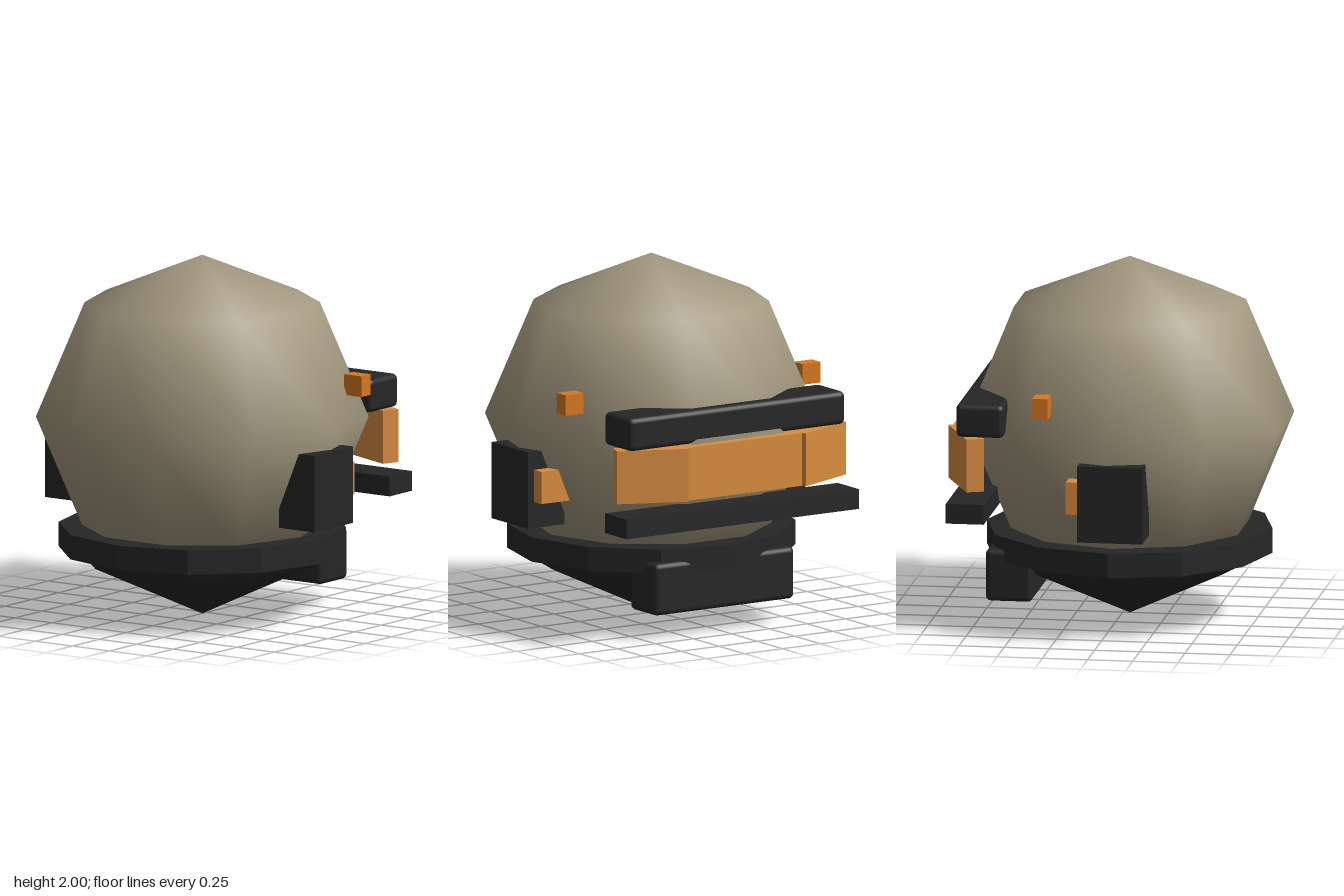
import * as THREE from 'three';
import { RoundedBoxGeometry } from 'three/addons/geometries/RoundedBoxGeometry.js';

const material = (name, color) => Object.assign(new THREE.MeshStandardMaterial({ color }), { name });

export function createModel() {
  const group = new THREE.Group();
  const tan = material('tan shell', 0xa3987f);
  const black = material('black trim', 0x262626);
  const amber = material('amber visor', 0xd98d3f);
  const orange = material('orange marker', 0xd87820);
  const cx = -0.04; // axis of the shell

  const add = (name, geometry, mat, x = 0, y = 0, z = 0) => {
    const mesh = new THREE.Mesh(geometry, mat);
    mesh.name = name;
    mesh.position.set(x, y, z);
    group.add(mesh);
    return mesh;
  };
  // Box given by its limits; a radius rounds the edges
  const box = (name, mat, [x0, x1], [y0, y1], [z0, z1], radius = 0) => {
    const size = [x1 - x0, y1 - y0, z1 - z0];
    const geometry = radius ? new RoundedBoxGeometry(...size, 2, radius) : new THREE.BoxGeometry(...size);
    return add(name, geometry, mat, (x0 + x1) / 2, (y0 + y1) / 2, (z0 + z1) / 2);
  };

  // Coarse, smooth-shaded helmet shell
  const shell = new THREE.SphereGeometry(0.91, 10, 4);
  shell.rotateY(Math.PI / 2);
  shell.scale(1, 0.9 / 0.91, 1);
  add('shell', shell, tan, cx, 1.1, 0);

  // Neck bowl and collar
  const bowl = [[0, 0.005], [0.64, 0.3], [0.64, 0.46]].map(p => new THREE.Vector2(...p));
  add('neckBowl', new THREE.LatheGeometry(bowl, 12), black, cx);
  const collar = new THREE.CylinderGeometry(0.79, 0.79, 0.135, 12).toNonIndexed();
  collar.computeVertexNormals();
  add('collar', collar, black, cx, 0.4325, 0);

  // Face: brow, chin bar and lower chin block
  box('brow', black, [0.55, 0.815], [1.105, 1.29], [-0.71, 0.71], 0.03);
  box('chinBar', black, [0.65, 0.86], [0.635, 0.745], [-0.765, 0.765]);
  box('chinBlock', black, [0.43, 0.69], [0.14, 0.43], [-0.46, 0.46], 0.03);

  // Three-panel visor
  box('visorCentre', amber, [0.78, 0.88], [0.81, 1.105], [-0.375, 0.375]);

  for (const s of [1, -1]) {
    const side = s > 0 ? 'right' : 'left';
    const span = (a, b) => (s > 0 ? [a, b] : [-b, -a]);
    const panel = add(side + 'VisorPanel', new THREE.BoxGeometry(0.1, 0.295, 0.4), amber, 0.78, 0.9575, s * 0.55);
    panel.rotation.y = -s * 0.4;

    // Ear box, its switch and the marker above
    box(side + 'EarBox', black, [-0.25, 0.11], [0.585, 1.01], span(0.67, 0.91));
    box(side + 'EarSwitch', amber, [0.05, 0.18], [0.73, 0.91], span(0.68, 0.87));
    box(side + 'Marker', orange, [0.285, 0.37], [1.25, 1.365], span(0.72, 0.84));
  }
  return group;
}
